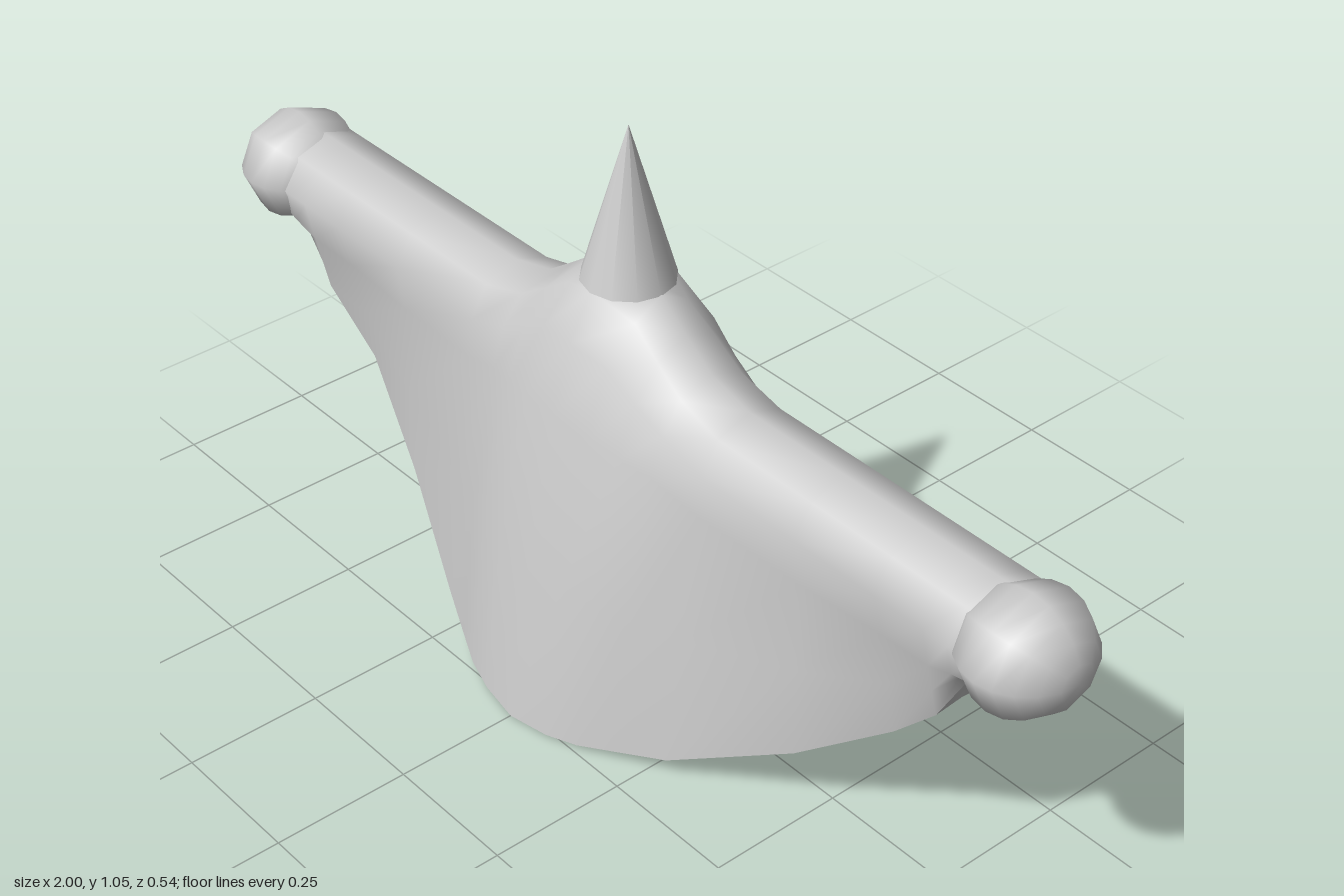
import * as THREE from 'three';

const ZC = 0.012; // slight forward offset of the arm axis

// Body sections: x, top y, then [y, half depth] from shoulder to hem
const BODY = [
  [0.00, 0.785, [0.78, 0.078], [0.70, 0.122], [0.58, 0.160], [0.30, 0.222], [0.003, 0.272]],
  [0.08, 0.780, [0.75, 0.055], [0.69, 0.112], [0.57, 0.152], [0.30, 0.216], [0.007, 0.260]],
  [0.14, 0.735, [0.71, 0.060], [0.65, 0.105], [0.56, 0.140], [0.30, 0.204], [0.015, 0.243]],
  [0.20, 0.692, [0.67, 0.062], [0.62, 0.100], [0.55, 0.125], [0.29, 0.182], [0.027, 0.216]],
];
// Sleeve sections: x, then underarm and hem as y, half depth
const SLEEVE = [
  [0.29, 0.52, 0.108, 0.045, 0.175],
  [0.50, 0.50, 0.085, 0.155, 0.088],
  [0.67, 0.50, 0.073, 0.290, 0.040],
  [0.77, 0.51, 0.080, 0.400, 0.056],
  [0.82, 0.53, 0.085, 0.495, 0.045],
  [0.87, 0.53, 0.075, 0.500, 0.020],
];

// Every sleeve shares one round shoulder; the drape hangs straight to the hem
const sleeveSection = ([x, armY, armZ, hemY, hemZ]) => [
  x, 0.668, [0.645, 0.065], [0.588, 0.097], [armY, armZ],
  [(armY + hemY) / 2, (armZ + hemZ) / 2], [hemY, hemZ],
];

// Full row of sections from the right hand to the left hand
function makeStations() {
  const half = [...BODY, ...SLEEVE.map(sleeveSection)];
  const mirrored = half.slice(1).reverse().map(([x, ...rest]) => [-x, ...rest]);
  return [...mirrored, ...half];
}

// Half depth of the oval opening in the floor
const openingDepth = (x) => 0.2 * Math.sqrt(Math.max(0, 1 - (x / 0.27) ** 2));

// The depth offset fades out towards the wide middle hem
const point = (x, y, z) => [x, y, z + ZC * Math.min(1, 0.2 + y * 1.6)];

// Joins equal-length rows of points into a smooth surface
function loft(rows) {
  const n = rows[0].length;
  const index = [];
  for (let i = 0; i < rows.length - 1; i++) {
    for (let j = 0; j < n - 1; j++) {
      const a = i * n + j, b = a + n;
      index.push(a, b, b + 1, a, b + 1, a + 1);
    }
  }
  const g = new THREE.BufferGeometry();
  g.setAttribute('position', new THREE.Float32BufferAttribute(rows.flat(2), 3));
  g.setIndex(index);
  g.computeVertexNormals();
  return g;
}

export function createModel() {
  const group = new THREE.Group();
  const material = new THREE.MeshStandardMaterial({ color: 0xcccccc, side: THREE.DoubleSide });
  const stations = makeStations();
  const add = (name, geometry) => {
    const mesh = new THREE.Mesh(geometry, material);
    mesh.name = name;
    group.add(mesh);
    return mesh;
  };

  // Draped cape with sleeves: front hem, over the shoulder, back hem
  add('cape', loft(stations.map(([x, top, ...side]) => [
    ...side.map(([y, z]) => point(x, y, z)).reverse(),
    point(x, top, 0),
    ...side.map(([y, z]) => point(x, y, -z)),
  ])));

  // Underside between the hems, leaving an oval opening in the middle
  for (const s of [1, -1]) {
    add(s > 0 ? 'undersideFront' : 'undersideBack', loft(stations.map((station) => {
      const x = station[0];
      const [y, z] = station[6];
      const strip = [point(x, Math.max(0.06, y + 0.005), s * openingDepth(x)), point(x, y, s * z)];
      return s > 0 ? strip : strip.reverse();
    })));
  }

  // Pointed hood
  const hood = add('hood', new THREE.ConeGeometry(0.08, 0.275, 12, 1, true));
  hood.position.set(0, 0.9155, ZC);

  // Rounded hands
  for (const s of [1, -1]) {
    const g = new THREE.SphereGeometry(1, 8, 10);
    g.rotateZ(-s * Math.PI / 2);
    g.scale(0.103, 0.103, 0.113);
    const hand = add(s > 0 ? 'leftHand' : 'rightHand', g);
    hand.position.set(s * 0.897, 0.587, 0.024);
  }
  return group;
}
